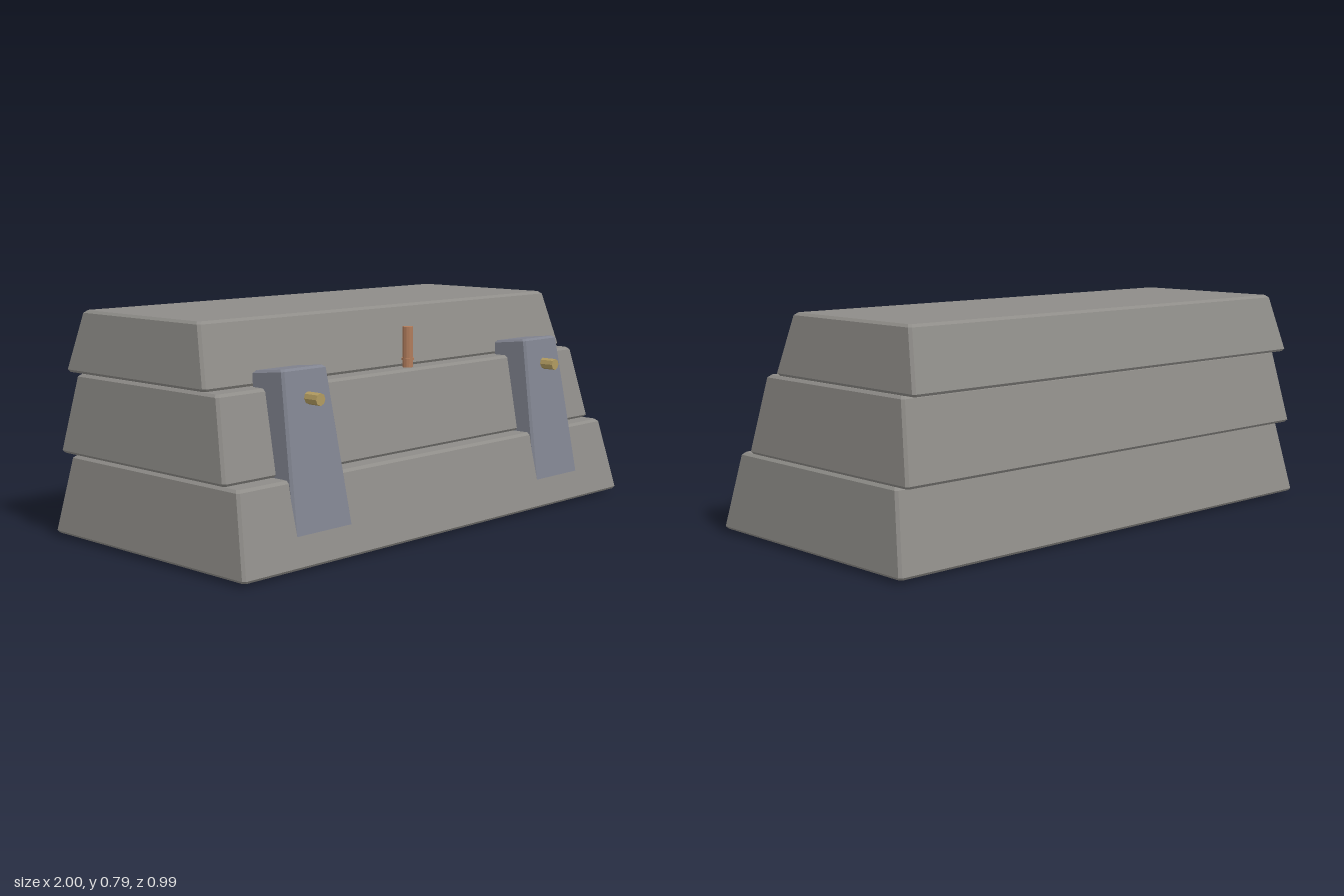
import * as THREE from 'three';

const paint = (color) => new THREE.MeshStandardMaterial({ color, flatShading: true });
const mix = THREE.MathUtils.lerp;

// Tapered block with chamfered edges, lofted from four eight-sided rings.
// Each end: w = half width, back / front = [z, y] of its two edges.
function taperedBlock(bottom, top, c) {
  const height = top.front[1] - bottom.front[1];
  const levels = [[0, c], [c / height, 0], [1 - c / height, 0], [1, c]];
  const pos = [];
  const index = [];
  for (const [t, inset] of levels) {
    const w = mix(bottom.w, top.w, t) - inset;
    const [zb, yb] = [0, 1].map((k) => mix(bottom.back[k], top.back[k], t));
    const [zf, yf] = [0, 1].map((k) => mix(bottom.front[k], top.front[k], t));
    const b = zb + inset;
    const f = zf - inset;
    const ring = [
      [-w + c, f], [w - c, f], [w, f - c], [w, b + c],
      [w - c, b], [-w + c, b], [-w, b + c], [-w, f - c],
    ];
    for (const [x, z] of ring) pos.push(x, mix(yb, yf, (z - zb) / (zf - zb)), z);
  }
  for (let r = 0; r < 3; r++) {
    for (let i = 0; i < 8; i++) {
      const a = r * 8 + i;
      const n = r * 8 + ((i + 1) % 8);
      index.push(a, n, n + 8, a, n + 8, a + 8);
    }
  }
  // End caps
  for (let i = 1; i < 7; i++) {
    index.push(0, i + 1, i);
    index.push(24, 24 + i, 25 + i);
  }
  const indexed = new THREE.BufferGeometry();
  indexed.setAttribute('position', new THREE.Float32BufferAttribute(pos, 3));
  indexed.setIndex(index);
  const geometry = indexed.toNonIndexed();
  geometry.computeVertexNormals();
  return geometry;
}

export function createModel() {
  const model = new THREE.Group();
  const stone = paint(0x8e8c88);
  const steel = paint(0x80838f);
  const brass = paint(0xb09a60);
  const copper = paint(0xb07c5c);

  const add = (name, geometry, material, x = 0, y = 0, z = 0, parent = model) => {
    const mesh = new THREE.Mesh(geometry, material);
    mesh.name = name;
    mesh.position.set(x, y, z);
    parent.add(mesh);
    return mesh;
  };

  // Three stacked slabs, stepped back at the front: y0, y1, half widths, front z
  const tiers = [
    ['lowerTier', 0.013, 0.292, 1.0, 0.963, 0.497, 0.43],
    ['middleTier', 0.294, 0.574, 0.968, 0.933, 0.372, 0.304],
    ['upperTier', 0.576, 0.793, 0.937, 0.902, 0.247, 0.183],
  ];
  for (const [name, y0, y1, w0, w1, f0, f1] of tiers) {
    const bottom = { w: w0, back: [-0.497, y0], front: [f0, y0] };
    const top = { w: w1, back: [-0.436, y1], front: [f1, y1] };
    add(name, taperedBlock(bottom, top, 0.009), stone);
  }

  // Leaning clamps that pass through the lower slabs, each with a bolt
  const clampGeometry = taperedBlock(
    { w: 0.137, back: [0.27, 0.001], front: [0.488, 0.023] },
    { w: 0.1, back: [0.235, 0.626], front: [0.383, 0.642] },
    0.008,
  );
  const boltGeometry = new THREE.CylinderGeometry(0.021, 0.021, 0.1, 8);
  for (const [side, x] of [['left', 0.627], ['right', -0.627]]) {
    const clamp = new THREE.Group();
    clamp.name = side + 'Clamp';
    clamp.position.x = x;
    model.add(clamp);
    add('clampBody', clampGeometry, steel, 0, 0, 0, clamp);
    add('bolt', boltGeometry, brass, 0, 0.543, 0.405, clamp).rotation.x = Math.PI / 2;
  }

  // Upright pin on the middle step with a thin collar
  add('pin', new THREE.CylinderGeometry(0.019, 0.019, 0.155, 12), copper, 0, 0.6425, 0.264);
  add('pinCollar', new THREE.CylinderGeometry(0.023, 0.023, 0.008, 12), copper, 0, 0.604, 0.264);
  return model;
}
